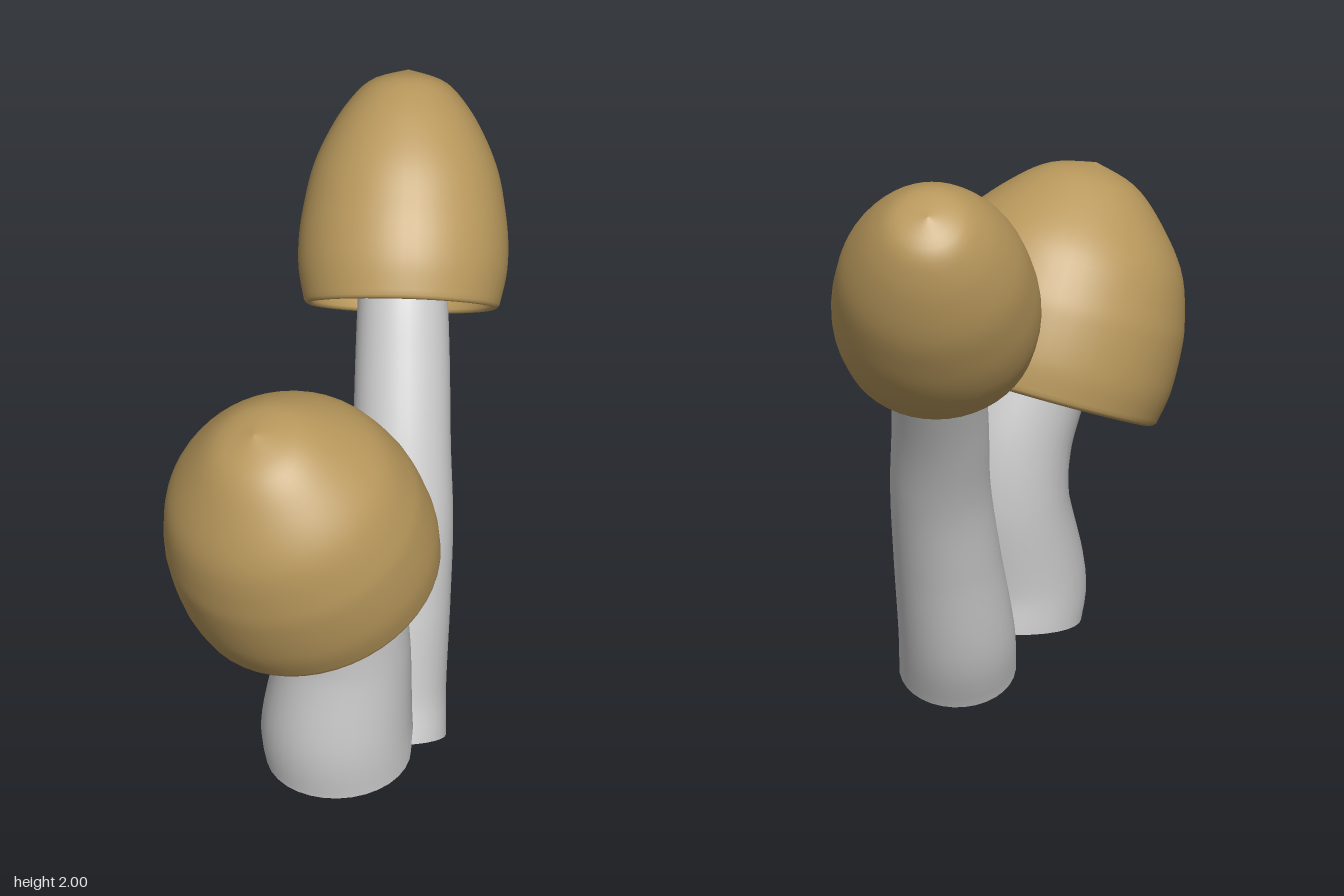
import * as THREE from 'three';

const UP = new THREE.Vector3(0, 1, 0);
const vec = (p) => new THREE.Vector3(...p);

// Bent, tapering stem: points are [x, y, z, radius]
function makeStem(points, material) {
  const group = new THREE.Group();
  group.name = 'stem';
  const path = new THREE.CatmullRomCurve3(points.map(([x, y, z]) => new THREE.Vector3(x, y, z)));
  const radii = new THREE.CatmullRomCurve3(points.map((p, i) => new THREE.Vector3(i, p[3], 0)));
  const rings = 40, sides = 32;

  const geometry = new THREE.TubeGeometry(path, rings, 1, sides);
  const pos = geometry.attributes.position, normal = geometry.attributes.normal;
  const v = new THREE.Vector3(), n = new THREE.Vector3();
  for (let i = 0; i < pos.count; i++) {
    const u = Math.floor(i / (sides + 1)) / rings;
    // follow the same curve parameter for radius as for position
    const r = radii.getPoint(path.getUtoTmapping(u)).y;
    n.fromBufferAttribute(normal, i);
    v.copy(path.getPointAt(u)).addScaledVector(n, r);
    pos.setXYZ(i, v.x, v.y, v.z);
  }
  const shaft = new THREE.Mesh(geometry, material);
  shaft.name = 'stemShaft';
  group.add(shaft);

  // Flat discs close both ends
  [[0, -1, 'stemBase'], [1, 1, 'stemTop']].forEach(([u, sign, name]) => {
    const disc = new THREE.Mesh(new THREE.CircleGeometry(points.at(u ? -1 : 0)[3], sides), material);
    disc.position.copy(path.getPointAt(u));
    disc.quaternion.setFromUnitVectors(new THREE.Vector3(0, 0, 1), path.getTangentAt(u).multiplyScalar(sign));
    disc.name = name;
    group.add(disc);
  });
  return group;
}

// Hollow bell cap: profile is [radius, height] from rim to crown
function makeCap(profile, center, axis, wall, material) {
  const curve = new THREE.SplineCurve(profile.map(([r, h]) => new THREE.Vector2(r, h)));
  const outer = curve.getPoints(36);
  outer.forEach((p) => { p.x = Math.max(p.x, 0); });
  const [rim, top] = [profile[0][0], profile.at(-1)[1]];
  const inner = outer.map((p) => new THREE.Vector2(p.x * (1 - wall / rim), p.y * (1 - wall / top))).reverse();
  // rounded lip between the inner and outer walls
  const lip = [0.2, 0.5, 0.8].map((t) =>
    new THREE.Vector2(rim - wall * (1 - t), -0.012 * Math.sin(Math.PI * t)));
  const cap = new THREE.Mesh(new THREE.LatheGeometry([...inner, ...lip, ...outer], 48), material);
  cap.position.copy(vec(center));
  cap.quaternion.setFromUnitVectors(UP, vec(axis).normalize());
  cap.name = 'cap';
  return cap;
}

export function createModel() {
  const model = new THREE.Group();
  model.name = 'mushroomPair';
  const stemMaterial = new THREE.MeshStandardMaterial({ color: 0xcccccc });
  const capMaterial = new THREE.MeshStandardMaterial({ color: 0xb8985c });

  // Short, thick mushroom leaning forward
  const shortMushroom = new THREE.Group();
  shortMushroom.name = 'shortMushroom';
  shortMushroom.add(
    makeStem([
      [0.20, 0.16, 0.25, 0.23], [0.205, 0.29, 0.262, 0.24], [0.205, 0.58, 0.23, 0.21],
      [0.205, 0.76, 0.25, 0.205], [0.20, 0.97, 0.33, 0.20], [0.20, 1.32, 0.49, 0.17],
    ], stemMaterial),
    makeCap([
      [0.41, 0], [0.427, 0.1], [0.425, 0.23], [0.41, 0.33], [0.358, 0.48],
      [0.255, 0.61], [0.14, 0.705], [0, 0.745],
    ], [0.2, 0.905, 0.35], [0.03, 0.917, 0.4], 0.03, capMaterial));

  // Tall, slender mushroom leaning back and to its right
  const tallMushroom = new THREE.Group();
  tallMushroom.name = 'tallMushroom';
  tallMushroom.add(
    makeStem([
      [0.145, 0.07, -0.02, 0.185], [0.105, 0.2, -0.06, 0.185], [0.07, 0.5, -0.135, 0.17],
      [0.03, 0.75, -0.2, 0.16], [-0.04, 0.98, -0.265, 0.155], [-0.13, 1.22, -0.355, 0.15],
      [-0.22, 1.43, -0.445, 0.14], [-0.35, 1.65, -0.58, 0.12],
    ], stemMaterial),
    makeCap([
      [0.31, 0], [0.33, 0.1], [0.332, 0.2], [0.32, 0.3], [0.295, 0.42],
      [0.25, 0.53], [0.19, 0.63], [0.115, 0.705], [0, 0.74],
    ], [-0.19, 1.38, -0.41], [-0.43, 0.77, -0.46], 0.025, capMaterial));

  model.add(shortMushroom, tallMushroom);
  return model;
}
